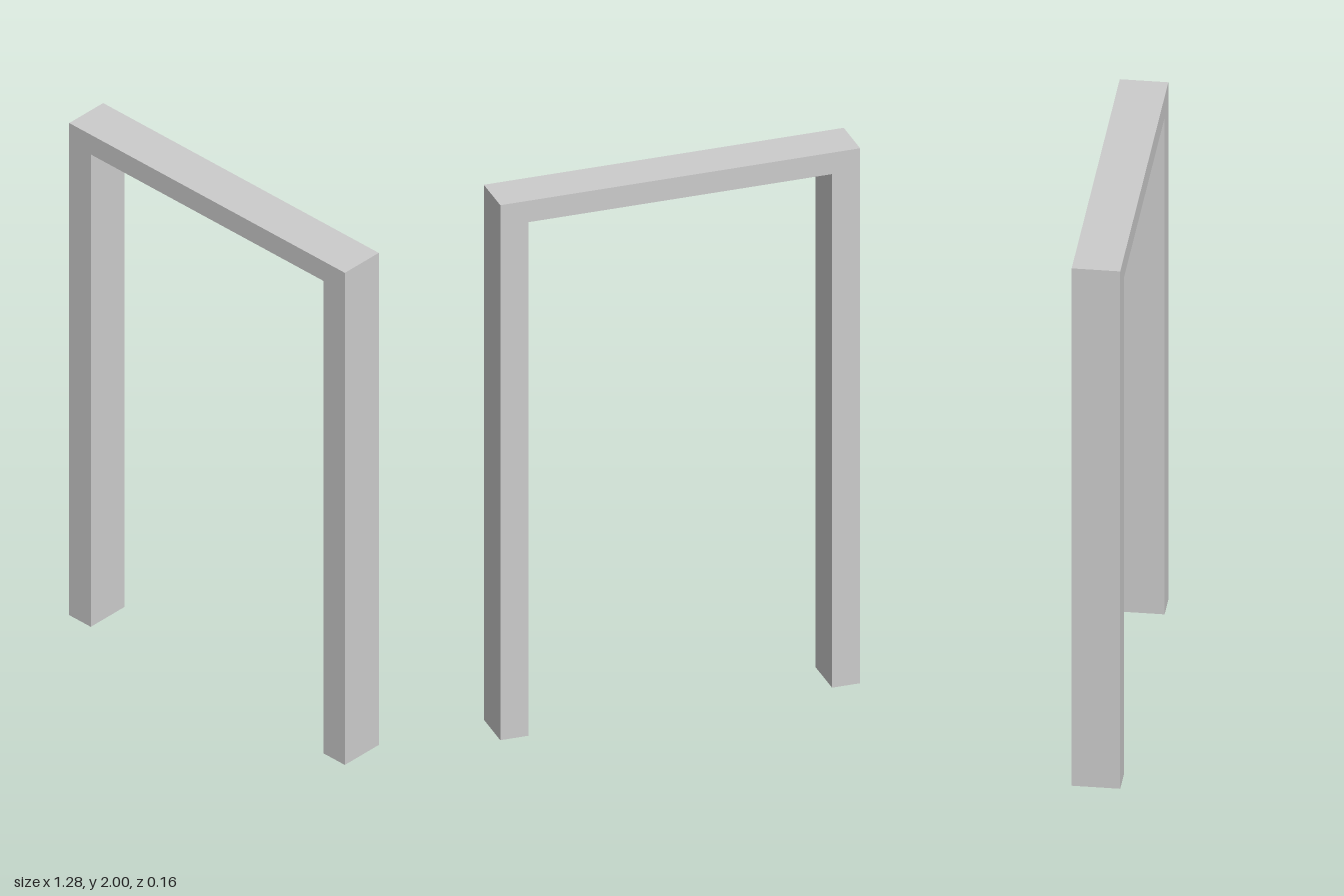
import * as THREE from 'three';

export function createModel() {
  const outer = 0.64, inner = 0.54, height = 2, opening = 1.92, depth = 0.164;

  // Door frame outline: two jambs joined by a lintel, open at the floor
  const outline = new THREE.Shape([
    [-outer, 0], [-inner, 0], [-inner, opening], [inner, opening],
    [inner, 0], [outer, 0], [outer, height], [-outer, height],
  ].map(([x, y]) => new THREE.Vector2(x, y)));

  const geometry = new THREE.ExtrudeGeometry(outline, { depth, bevelEnabled: false });
  geometry.translate(0, 0, -depth / 2);

  const frame = new THREE.Mesh(geometry, new THREE.MeshStandardMaterial({ color: 0xcccccc }));
  frame.name = 'doorFrame';

  const model = new THREE.Group();
  model.name = 'doorway';
  model.add(frame);
  return model;
}
